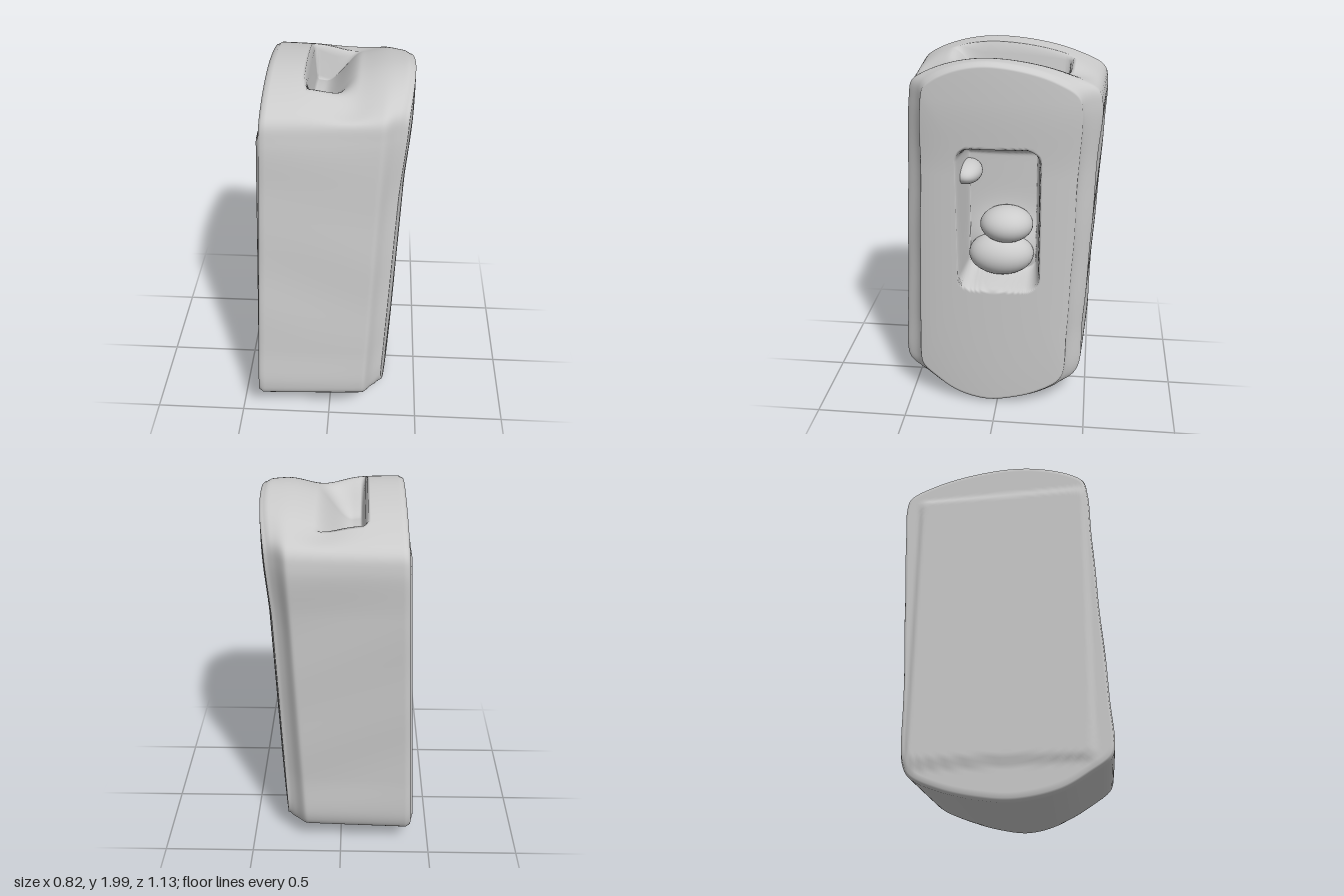
import * as THREE from 'three';

const step = THREE.MathUtils.smoothstep;
const CY = 1.15; // height of the point the end caps close on

// Side outline as [z, y], running from the top over the front to the bottom and back
const outline = [
  [0.06, 1.995], [0.25, 1.97], [0.4, 1.915], [0.465, 1.865], [0.485, 1.77], [0.5, 1.5], [0.527, 1.0],
  [0.555, 0.5], [0.567, 0.27], [0.55, 0.2], [0.45, 0.125], [0.3, 0.045], [0.08, 0.003], [-0.1, 0.02],
  [-0.3, 0.07], [-0.45, 0.145], [-0.49, 0.22], [-0.503, 0.5], [-0.527, 1.0], [-0.55, 1.5],
  [-0.563, 1.76], [-0.54, 1.84], [-0.4, 1.915], [-0.2, 1.97],
];

// Signed distance to a rounded rectangle
function roundedRect(a, b, halfA, halfB, r) {
  const qa = Math.abs(a) - halfA + r, qb = Math.abs(b) - halfB + r;
  return Math.hypot(Math.max(qa, 0), Math.max(qb, 0)) + Math.min(Math.max(qa, qb), 0) - r;
}

// Cross-section rows from the centre of the flat side, along the skin, to the centre of the window side
function makeRows() {
  const rows = [];
  for (let i = 0; i < 40; i++) {
    rows.push({ part: 'flat', x: -0.36, s: 0.985 * (0.001 + i / 40), sz: 1 });
  }
  for (let i = 0; i <= 64; i++) {
    const x = -0.36 + 0.72 * i / 64;
    const s = 1 - 0.015 * (1 - step(x, -0.36, -0.335)) - 0.02 * step(x, 0.32, 0.36);
    const taper = 0.07 * (x + 0.36) / 0.72;
    rows.push({ part: 'skin', x, s, sz: 1 - taper - 0.14 * step(x, 0.22, 0.35) });
  }
  for (let i = 1; i <= 76; i++) {
    const k = 1.001 - i / 76;
    rows.push({ part: 'window', x: 0.36 + 0.008 * (1 - k ** 6), s: 0.98 * k, sz: 0.79 });
  }
  return rows;
}

function bodyGeometry() {
  const N = 320;
  const curve = new THREE.CatmullRomCurve3(
    outline.map(([z, y]) => new THREE.Vector3(0, y, z)), true, 'centripetal');
  const ring = curve.getSpacedPoints(N).slice(0, N);
  const rows = makeRows();
  const pos = [], index = [];

  for (const row of rows) {
    for (const p of ring) {
      let z = p.z * row.s * row.sz;
      let y = CY + (p.y - CY) * row.s;
      // Slight lean, a bowed window side and a flare towards its top
      const side = step(row.x, 0.2, 0.35);
      let x = row.x + 0.04 * (y - 1) + side * (0.015 * step(y, 1.4, 1.8) - 0.035 * (z / 0.42) ** 2);

      // Hand-worn unevenness
      const wobble = 0.003 * Math.sin(9 * y + 5 * x) * Math.cos(11 * z + 4 * y);

      if (row.part === 'skin') {
        // Shallow trough across the top, with a slot deepest at its back corner
        const top = step(p.y, 1.84, 1.94);
        y -= 0.04 * top * Math.exp(-(((x - 0.1) / 0.13) ** 2));
        const across = step(x, -0.125, -0.105) * (1 - step(x, -0.06, 0.14));
        const along = step(z, -0.365, -0.335) * (1 - step(z, 0.08, 0.29));
        y -= 0.2 * top * across * along;
        z += wobble;
      }
      if (row.part === 'window') {
        // Deep niche with a sloping roof and a floor swelling around the forms
        const d = roundedRect(z + 0.015, y - 1.15, 0.22, 0.405, 0.08);
        const roof = 0.55 * step(y, 1.44, 1.55);
        const swell = 0.45 * Math.exp(-(((y - 0.88) / 0.16) ** 2 + ((z + 0.02) / 0.17) ** 2));
        x -= 0.28 * step(-d, 0, 0.035) * (1 - roof) * (1 - swell);
      }
      if (row.part === 'flat') {
        // Slightly raised flat panel
        x -= 0.014 * step(-roundedRect(z, y - 1, 0.48, 0.81, 0.05), 0, 0.03);
      }
      pos.push(x, y, z);
    }
  }
  for (let j = 0; j < rows.length - 1; j++) {
    for (let i = 0; i < N; i++) {
      const a = j * N + i, b = j * N + (i + 1) % N;
      index.push(a, b, a + N, b, b + N, a + N);
    }
  }
  const geo = new THREE.BufferGeometry();
  geo.setAttribute('position', new THREE.Float32BufferAttribute(pos, 3));
  geo.setIndex(index);
  geo.computeVertexNormals();
  return geo;
}

export function createModel() {
  const group = new THREE.Group();
  group.name = 'carvedBlock';
  const material = new THREE.MeshStandardMaterial({ color: 0xcccccc });

  const body = new THREE.Mesh(bodyGeometry(), material);
  body.name = 'body';
  group.add(body);

  // Rounded forms inside the niche: name, centre, radii
  const forms = [
    ['upperForm', [0.16, 1.06, -0.04], [0.13, 0.1, 0.145]],
    ['lowerForm', [0.15, 0.88, -0.01], [0.13, 0.12, 0.18]],
    ['sideKnob', [0.17, 1.36, 0.17], [0.13, 0.06, 0.08]],
  ];
  for (const [name, centre, radii] of forms) {
    const form = new THREE.Mesh(new THREE.SphereGeometry(1, 32, 20), material);
    form.name = name;
    form.position.set(...centre);
    form.scale.set(...radii);
    group.add(form);
  }
  return group;
}
